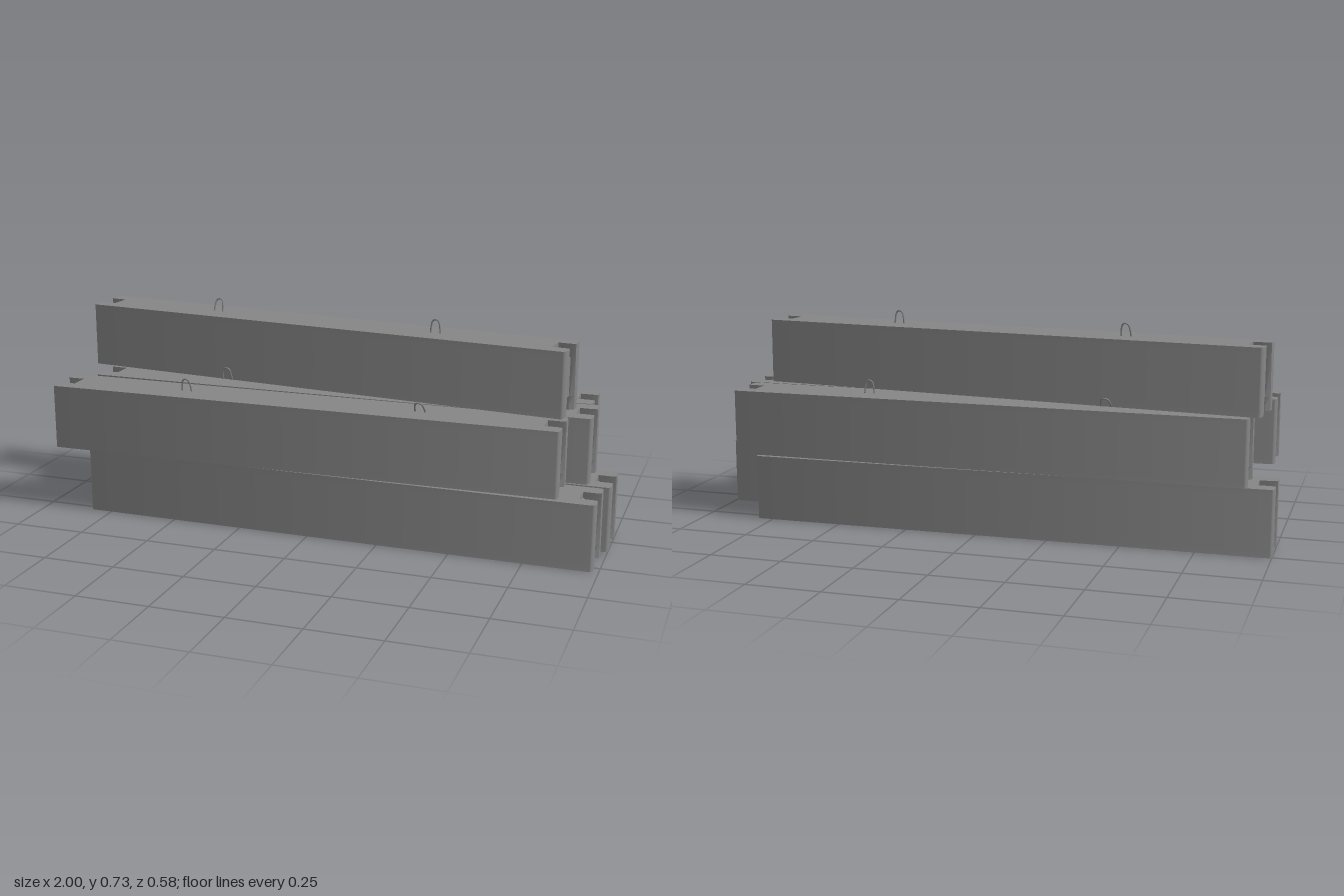
import * as THREE from 'three';
import { toCreasedNormals } from 'three/addons/utils/BufferGeometryUtils.js';

const L = 1.81, W = 0.178, H = 0.2267;
const material = new THREE.MeshStandardMaterial({ color: 0x868686, side: THREE.DoubleSide });

// Plan outline of a beam at one level: rounded corners and, in each end,
// a shallow flared groove with a straight-sided pocket behind it
function outline(mouth, depth) {
  const r = 0.014, flare = 0.016, floor = 0.035, hx = L / 2, hz = W / 2;
  const half = [];
  for (let i = 0; i <= 4; i++) {
    const a = -Math.PI / 2 + (i / 4) * (Math.PI / 2);
    half.push([hx - r + r * Math.cos(a), -hz + r + r * Math.sin(a)]);
  }
  half.push([hx, -mouth], [hx - flare, -floor], [hx - depth, -floor]);
  const end = [...half, ...half.slice().reverse().map(([x, z]) => [x, -z])];
  return [...end, ...end.map(([x, z]) => [-x, -z])];
}

// Loft the outline through the height; the pockets open at the top and bottom
function beamGeometry() {
  const levels = [[0, 0.06], [0.02, 0.06], [0.047, 0.0165], [H - 0.047, 0.0165], [H - 0.02, 0.06], [H, 0.06]];
  const rings = levels.map(([y, d]) => outline(0.048 - 0.01 * (y / H), d));
  const n = rings[0].length, pos = [], idx = [];
  rings.forEach((ring, k) => ring.forEach(([x, z]) => pos.push(x, levels[k][0], z)));
  for (let k = 0; k < rings.length - 1; k++) {
    for (let i = 0; i < n; i++) {
      const a = k * n + i, b = k * n + (i + 1) % n;
      idx.push(a, a + n, b, b, a + n, b + n);
    }
  }
  const cap = (k, up) => {
    const pts = rings[k].map(([x, z]) => new THREE.Vector2(x, z));
    for (const [a, b, c] of THREE.ShapeUtils.triangulateShape(pts, [])) {
      const o = k * n;
      if (up) idx.push(o + a, o + c, o + b);
      else idx.push(o + a, o + b, o + c);
    }
  };
  cap(0, false);
  cap(rings.length - 1, true);
  const g = new THREE.BufferGeometry();
  g.setAttribute('position', new THREE.Float32BufferAttribute(pos, 3));
  g.setIndex(idx);
  return toCreasedNormals(g, 0.6);
}

// Bent wire loop for lifting
function hookGeometry() {
  const pts = [[-0.018, -0.005], [-0.015, 0.025], [-0.01, 0.041], [0, 0.046], [0.01, 0.041], [0.015, 0.025], [0.018, -0.005]];
  const curve = new THREE.CatmullRomCurve3(pts.map(([x, y]) => new THREE.Vector3(x, y, 0)));
  return new THREE.TubeGeometry(curve, 24, 0.003, 8, false);
}

export function createModel() {
  const model = new THREE.Group();
  const beamGeo = beamGeometry(), hookGeo = hookGeometry();

  // layer, centre x, centre z, turn, hooks as [offset along the beam, lean]
  const beams = [
    [0, 0.075, 0.195, -0.008, []],
    [0, 0.095, 0.011, 0, []],
    [0, -0.095, -0.185, 0.016, []],
    [1, -0.053, 0.191, 0.009, [[-0.423, 0.22], [0.423, 0.65]]],
    [1, 0.02, 0.003, 0, [[-0.423, 0.22]]],
    [1, -0.008, -0.181, 0, [[-0.423, -0.8], [0.423, 0]]],
    [2, -0.056, -0.054, -0.104, [[-0.423, -0.25], [0.423, 0]]],
  ];
  beams.forEach(([layer, x, z, turn, hooks], i) => {
    const group = new THREE.Group();
    group.name = `beam${i + 1}`;
    group.position.set(x, layer * H, z);
    group.rotation.y = turn;
    const body = new THREE.Mesh(beamGeo, material);
    body.name = 'beamBody';
    group.add(body);
    for (const [offset, lean] of hooks) {
      const hook = new THREE.Mesh(hookGeo, material);
      hook.name = 'liftingHook';
      hook.position.set(offset, H, 0);
      hook.rotation.x = lean;
      group.add(hook);
    }
    model.add(group);
  });
  return model;
}
